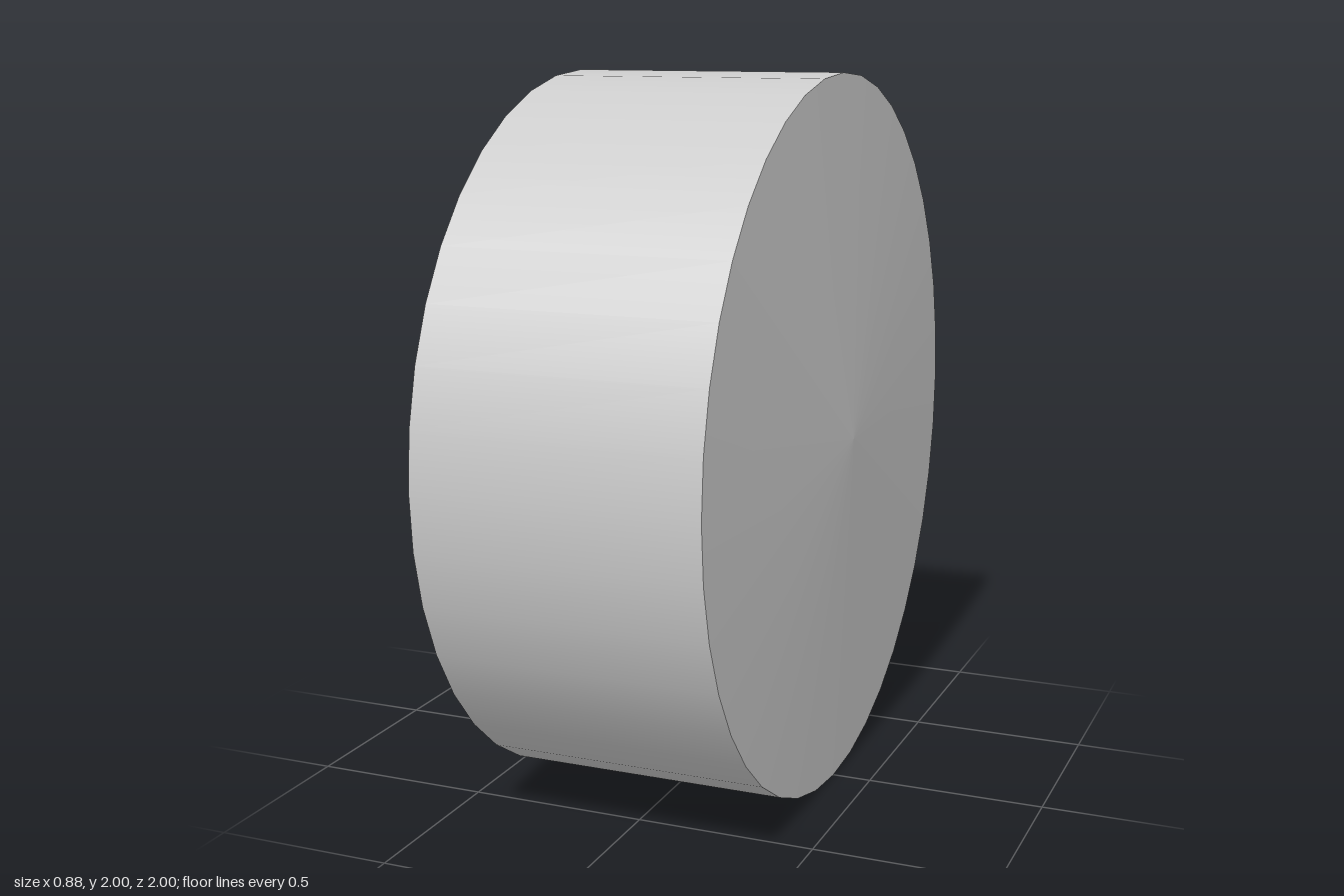
import * as THREE from 'three';

const SIDES = 40;

export function createModel() {
  const model = new THREE.Group();
  const wheel = new THREE.Group();
  wheel.name = 'wheel';
  const material = new THREE.MeshStandardMaterial({ color: 0xcccccc });

  // Each section is turned from [radius, height along axle]; separate sections keep creases sharp
  const turn = (name, profile) => {
    const points = profile.map(([r, h]) => new THREE.Vector2(r, h));
    const mesh = new THREE.Mesh(new THREE.LatheGeometry(points, SIDES), material);
    mesh.name = name;
    wheel.add(mesh);
  };

  // Closed inner face, a very shallow cone
  turn('innerFace', [[0, -0.435], [1, -0.39]]);
  turn('tread', [[1, -0.39], [1, 0.39]]);
  // Open face sloping up to the rim of the recess
  turn('sidewall', [[1, 0.39], [0.5, 0.44]]);

  // Rounded dish inside the rim, ending at the hub
  const dish = [];
  for (let i = 0; i <= 8; i++) {
    const a = (i / 8) * Math.PI / 2;
    dish.push([0.2 + 0.3 * Math.cos(a), 0.44 - 0.195 * Math.sin(a)]);
  }
  dish.push([0.13, 0.245]);
  turn('dish', dish);

  // Pointed hub cap
  turn('hub', [[0.13, 0.245], [0, 0.355]]);

  // Lay the axle along x, open face towards -x
  wheel.rotation.z = Math.PI / 2;
  wheel.position.y = 1;
  model.add(wheel);
  return model;
}
